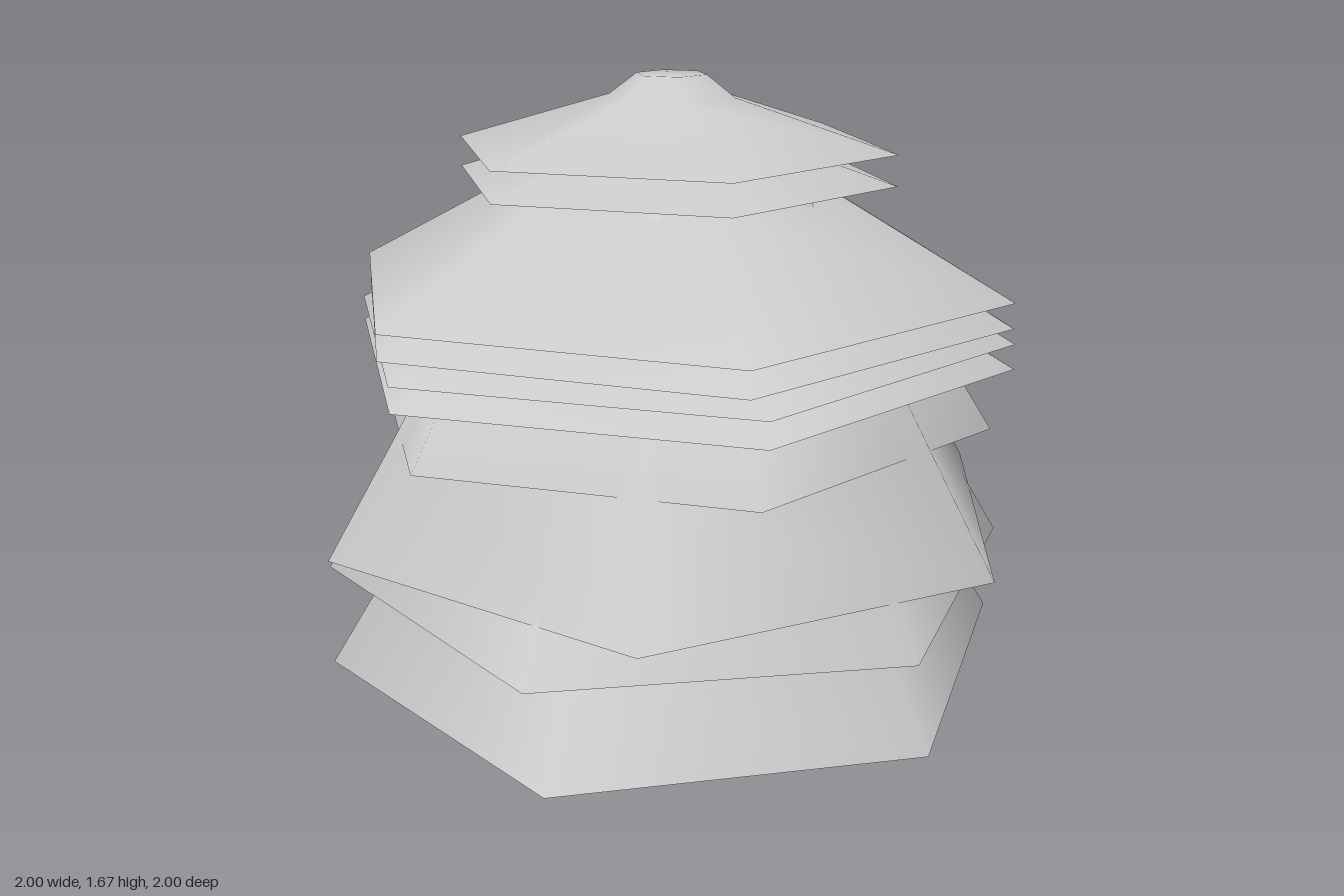
import * as THREE from 'three';

// Each tier: rotation of its six corners (degrees from +x towards +z)
// and a profile of [radius, height] points from rim to tip.
const TIERS = [
  // steep lower skirts
  { name: 'baseSkirt', turn: 27, profile: [[1.0, 0], [0.83, 0.275], [0.02, 1.6]] },
  { name: 'secondSkirt', turn: 30, profile: [[0.998, 0.275], [0.914, 0.415], [0.38, 1.3], [0, 1.4]] },
  { name: 'thirdSkirt', turn: 13.2, profile: [[1.025, 0.415], [0.83, 0.73], [0.435, 1.385], [0, 1.46]] },
  { name: 'fourthSkirt', turn: -5, profile: [[0.913, 0.73], [0.8, 0.905], [0.42, 1.3], [0, 1.4]] },
  // close stack of wide eaves
  { name: 'lowestEave', turn: -5, profile: [[0.967, 0.905], [0.44, 1.2], [0, 1.35]] },
  { name: 'lowerEave', turn: -5, profile: [[0.967, 0.975], [0.44, 1.26], [0, 1.38]] },
  { name: 'upperEave', turn: -2.2, profile: [[0.966, 1.03], [0.44, 1.315], [0, 1.4]] },
  { name: 'topEave', turn: -2.2, profile: [[0.966, 1.1], [0.44, 1.384], [0, 1.45]] },
  // small crown roofs
  { name: 'lowerCrown', turn: -5, profile: [[0.633, 1.388], [0.18, 1.53], [0, 1.57]] },
  { name: 'upperCrown', turn: -5, profile: [[0.633, 1.473], [0.18, 1.61], [0.1, 1.67], [0, 1.67]] },
];

// Open six-sided shell with smooth shading
function shell({ name, turn, profile }, material) {
  const points = profile.map(([r, y]) => new THREE.Vector2(r, y));
  const start = THREE.MathUtils.degToRad(90 - turn);
  const mesh = new THREE.Mesh(new THREE.LatheGeometry(points, 6, start, Math.PI * 2), material);
  mesh.name = name;
  return mesh;
}

export function createModel() {
  const grey = new THREE.MeshStandardMaterial({ color: 0xcccccc, side: THREE.DoubleSide });
  grey.name = 'lightGrey';
  const group = new THREE.Group();
  group.name = 'tieredTree';
  for (const tier of TIERS) group.add(shell(tier, grey));
  return group;
}
